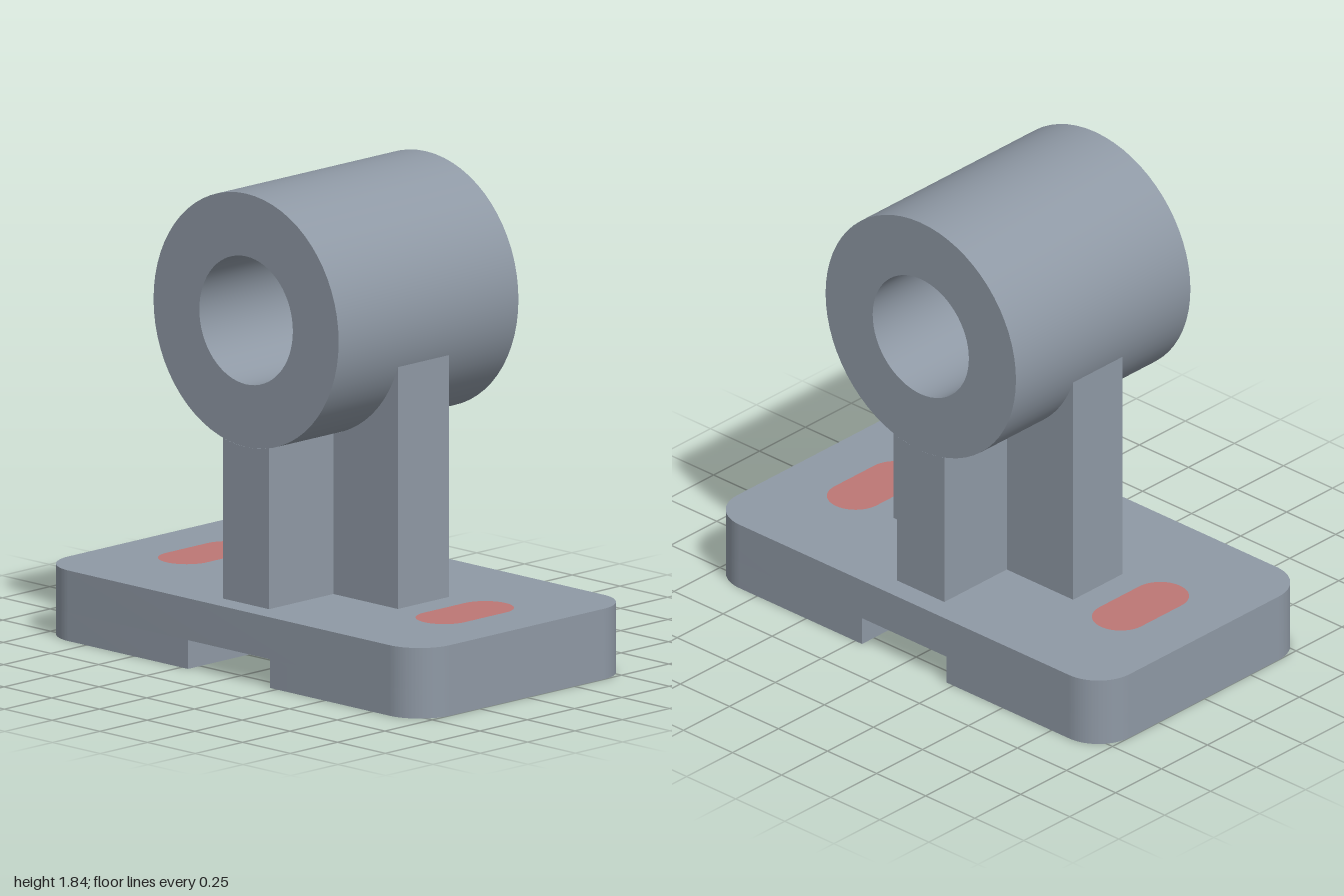
import * as THREE from 'three';
import { toCreasedNormals } from 'three/addons/utils/BufferGeometryUtils.js';

const BASE_TOP = 0.27, GROOVE_TOP = 0.11, GROOVE_HALF = 0.215;
const HALF_X = 1, HALF_Z = 0.565, CORNER = 0.16;
const HUB_Y = 1.355, HUB_R = 0.485, BORE_R = 0.245, HUB_HALF = 0.475;
const SLOT_X = 0.675, SLOT_R = 0.107, SLOT_HALF = 0.215;

// Rounded slot outline centred on x
function slotPath(x, Path = THREE.Path) {
  const straight = SLOT_HALF - SLOT_R;
  const p = new Path();
  p.absarc(x, straight, SLOT_R, 0, Math.PI, false);
  p.absarc(x, -straight, SLOT_R, Math.PI, Math.PI * 2, false);
  p.closePath();
  return p;
}

// Plan outline of the right-hand end, from x = left to the rounded outer corners
function planShape(left, roundLeft) {
  const s = new THREE.Shape(), r = CORNER, cx = HALF_X - r, cz = HALF_Z - r;
  s.absarc(cx, -cz, r, -Math.PI / 2, 0, false);
  s.absarc(cx, cz, r, 0, Math.PI / 2, false);
  if (roundLeft) {
    s.absarc(-cx, cz, r, Math.PI / 2, Math.PI, false);
    s.absarc(-cx, -cz, r, Math.PI, Math.PI * 1.5, false);
  } else {
    s.lineTo(left, HALF_Z);
    s.lineTo(left, -HALF_Z);
  }
  s.closePath();
  s.holes.push(slotPath(SLOT_X));
  if (roundLeft) s.holes.push(slotPath(-SLOT_X));
  return s;
}

// Smooth curved walls, sharp edges
function extrude(shape, depth) {
  const g = new THREE.ExtrudeGeometry(shape, { depth, bevelEnabled: false, curveSegments: 32 });
  return toCreasedNormals(g, Math.PI / 6);
}

// Upright wall whose top is scooped to fit the hub
function webShape(halfWidth) {
  const a = Math.acos(halfWidth / HUB_R);
  const s = new THREE.Shape();
  s.moveTo(-halfWidth, BASE_TOP);
  s.lineTo(halfWidth, BASE_TOP);
  s.absarc(0, HUB_Y, HUB_R, -a, a - Math.PI, true);
  s.closePath();
  return s;
}

export function createModel() {
  const model = new THREE.Group();
  model.name = 'bearingBracket';
  const steel = new THREE.MeshStandardMaterial({ color: 0x8f99a5 });
  steel.name = 'steelGrey';
  const red = new THREE.MeshStandardMaterial({ color: 0xbd7775 });
  red.name = 'slotRed';

  function add(name, geometry, material) {
    const mesh = new THREE.Mesh(geometry, material);
    mesh.name = name;
    model.add(mesh);
    return mesh;
  }

  // Base plate, with two feet leaving a groove underneath
  const plate = extrude(planShape(-HALF_X, true), BASE_TOP - GROOVE_TOP);
  plate.rotateX(-Math.PI / 2).translate(0, GROOVE_TOP, 0);
  add('basePlate', plate, steel);
  for (const [name, turn] of [['leftFoot', 0], ['rightFoot', Math.PI]]) {
    const foot = extrude(planShape(GROOVE_HALF, false), GROOVE_TOP);
    foot.rotateX(-Math.PI / 2).rotateY(turn);
    add(name, foot, steel);
  }

  // Flush coloured faces closing the bolt slots, above and below
  for (const [side, x] of [['left', SLOT_X], ['right', -SLOT_X]]) {
    const face = () => new THREE.ShapeGeometry(slotPath(x, THREE.Shape), 32);
    add(side + 'SlotTop', face().rotateX(-Math.PI / 2).translate(0, BASE_TOP, 0), red);
    add(side + 'SlotBottom', face().rotateX(Math.PI / 2), red);
  }

  // Crossed upright webs
  for (const [name, halfWidth, halfDepth] of [['wideWeb', 0.458, 0.135], ['deepWeb', 0.12, HUB_HALF]]) {
    add(name, extrude(webShape(halfWidth), halfDepth * 2).translate(0, 0, -halfDepth), steel);
  }

  // Hub with its bore
  const ring = new THREE.Shape().absarc(0, HUB_Y, HUB_R, 0, Math.PI * 2, false);
  ring.holes.push(new THREE.Path().absarc(0, HUB_Y, BORE_R, 0, Math.PI * 2, true));
  add('hub', extrude(ring, HUB_HALF * 2).translate(0, 0, -HUB_HALF), steel);

  return model;
}
